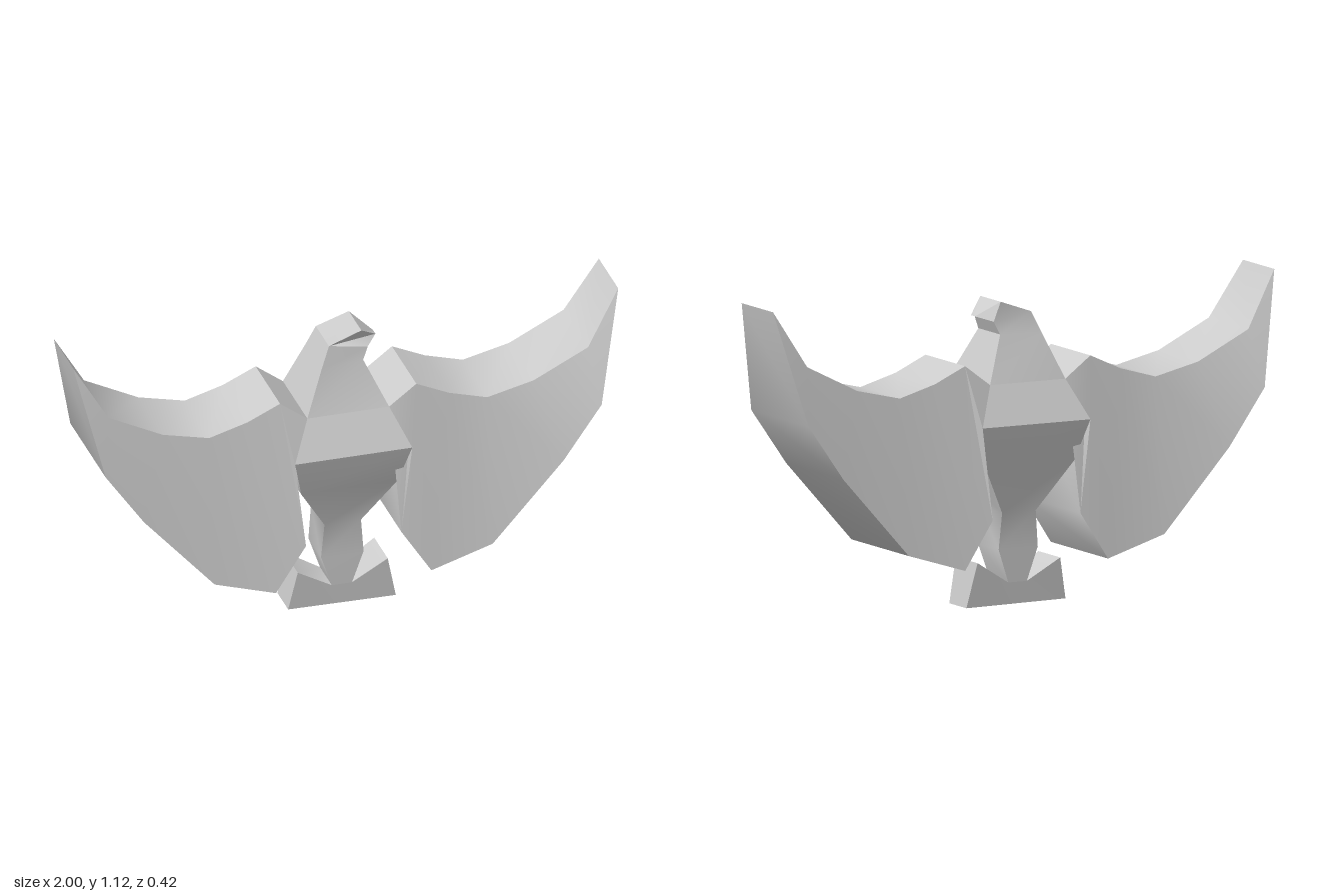
import * as THREE from 'three';
import { toCreasedNormals } from 'three/addons/utils/BufferGeometryUtils.js';

const material = new THREE.MeshStandardMaterial({ color: 0xcccccc });

// Solid strip, symmetric in z. Each row is a pair of points [x, y, half depth]:
// the left and right edge as seen from the front while moving along the rows.
function ribbon(name, rows, capStart, capEnd) {
  const positions = [];
  const tri = (...corners) => {
    const [a, b, c] = corners.map(p => new THREE.Vector3(...p));
    if (new THREE.Triangle(a, b, c).getArea() > 1e-7) corners.forEach(p => positions.push(...p));
  };
  const quad = (a, b, c, d) => { tri(a, b, c); tri(a, c, d); };
  const back = ([x, y, z]) => [x, y, -z];
  for (let i = 0; i + 1 < rows.length; i++) {
    const [a0, b0] = rows[i], [a1, b1] = rows[i + 1];
    quad(a0, b0, b1, a1);                         // front
    quad(back(b0), back(a0), back(a1), back(b1)); // back
    quad(a0, a1, back(a1), back(a0));             // left edge
    quad(b1, b0, back(b0), back(b1));             // right edge
  }
  const [s, t] = rows[0], [u, v] = rows[rows.length - 1];
  if (capStart) quad(s, back(s), back(t), t);
  if (capEnd) quad(u, v, back(v), back(u));
  const geometry = new THREE.BufferGeometry();
  geometry.setAttribute('position', new THREE.Float32BufferAttribute(positions, 3));
  const mesh = new THREE.Mesh(toCreasedNormals(geometry, 0.7), material);
  mesh.name = name;
  return mesh;
}

// Wing from tip to root: lower edge and upper edge, thicker along the bottom
function wing(name, side) {
  const sections = [
    [1, 1.12, 1, 1.12],
    [0.91, 0.72, 0.88, 0.92],
    [0.77, 0.52, 0.68, 0.82],
    [0.51, 0.23, 0.51, 0.78],
    [0.285, 0.16, 0.37, 0.82],
    [0.175, 0.33, 0.25, 0.875],
    [0.215, 0.66, 0.15, 0.8],
  ];
  const rows = sections.map(([xl, yl, xu, yu], i) => {
    const lower = [side * xl, yl, i ? 0.21 : 0.115];
    const upper = [side * xu, yu, i ? 0.145 : 0.115];
    return side > 0 ? [lower, upper] : [upper, lower];
  });
  return ribbon(name, rows, false, false);
}

export function createModel() {
  const model = new THREE.Group();
  model.name = 'spreadWingBird';

  model.add(wing('leftWing', 1), wing('rightWing', -1));

  // Body: narrow waist at the tail swelling to the chest: [half width, y, half depth]
  const body = [
    [0.037, 0.08, 0.07],
    [0.078, 0.2, 0.075],
    [0.067, 0.33, 0.08],
    [0.177, 0.51, 0.16],
    [0.215, 0.66, 0.21],
    [0.15, 0.8, 0.145],
  ];
  model.add(ribbon('body', body.map(([x, y, z]) => [[-x, y, z], [x, y, z]]), false, false));

  // Neck and head turned to the left, ending in a thin hooked beak
  model.add(ribbon('head', [
    [[-0.15, 0.8, 0.145], [0.15, 0.8, 0.145]],
    [[-0.083, 0.96, 0.097], [0.075, 0.965, 0.08]],
    [[-0.05, 1.038, 0.078], [0.095, 1.01, 0.07]],
    [[0.07, 1.08, 0.075], [0.14, 1.025, 0.015]],
  ], false, true));

  // Tail fan that the bird stands on
  model.add(ribbon('tail', [
    [[-0.165, 0.155, 0.08], [-0.195, 0.005, 0.063]],
    [[-0.037, 0.08, 0.07], [-0.037, 0.003, 0.063]],
    [[0.037, 0.08, 0.07], [0.037, 0.002, 0.063]],
    [[0.165, 0.16, 0.08], [0.2, 0, 0.063]],
  ], true, true));

  return model;
}
